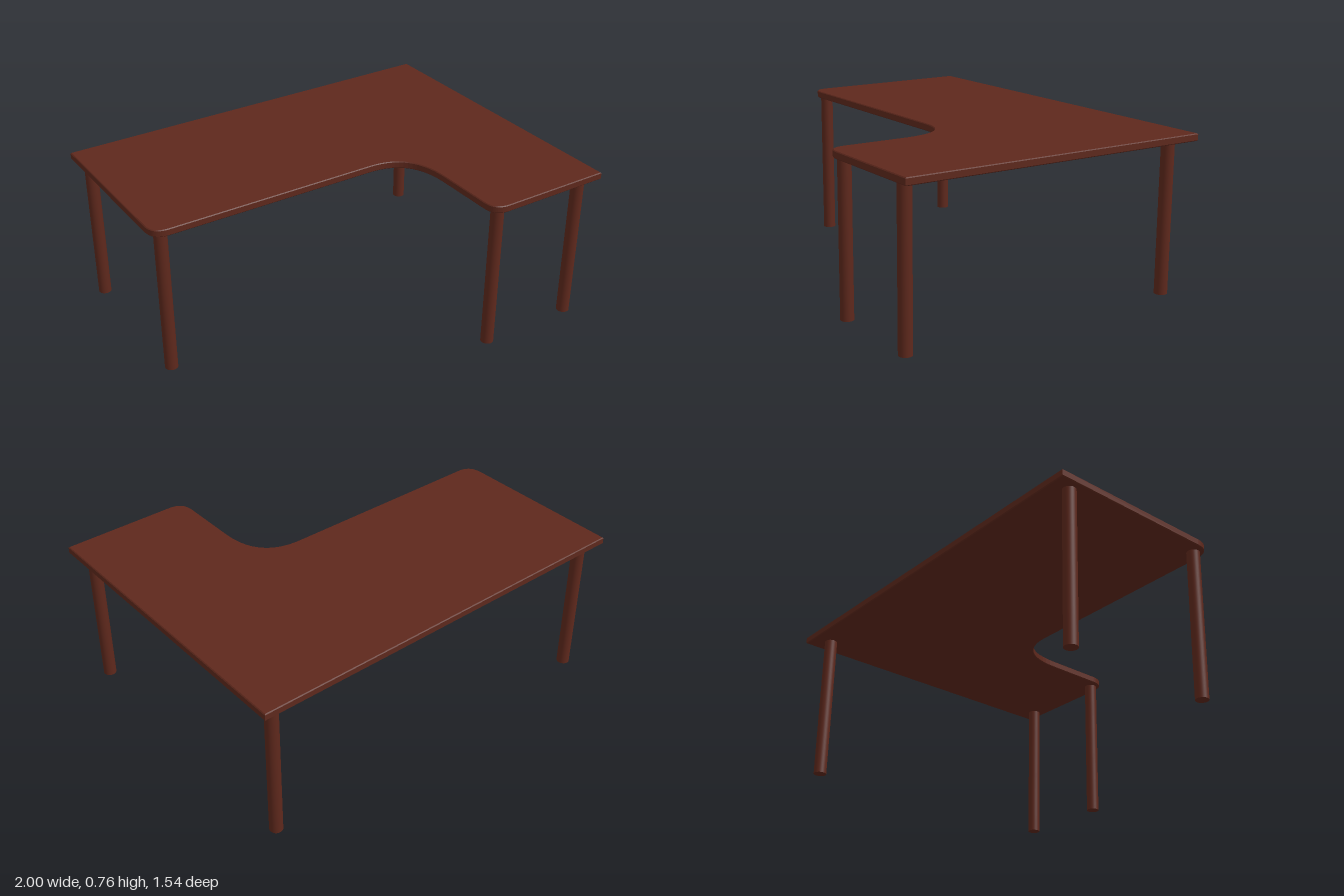
import * as THREE from 'three';

const TOP_Y = 0.765, UNDER_Y = 0.73, BEVEL = 0.004, LEG_RADIUS = 0.031;

// L-shaped outline, drawn with y = -z
function topOutline() {
  const r = 0.08, b = BEVEL;
  const left = -1 + b, right = 1 - b, back = 0.773 - b;
  const front = -0.768 + b, innerX = 0.362 + b, innerZ = -0.128 + b;
  const s = new THREE.Shape();
  s.moveTo(left, back);
  s.lineTo(left, innerZ + r);
  s.quadraticCurveTo(left, innerZ, left + r, innerZ);
  s.lineTo(0.13, innerZ);
  // sweeping inner corner
  s.quadraticCurveTo(innerX, innerZ, innerX, -0.39);
  s.lineTo(innerX, front + r);
  s.quadraticCurveTo(innerX, front, innerX + r, front);
  s.lineTo(right, front);
  s.lineTo(right, back);
  s.closePath();
  return s;
}

export function createModel() {
  const desk = new THREE.Group();
  desk.name = 'cornerDesk';
  const wood = new THREE.MeshStandardMaterial({ color: 0x5e281c });

  // desk top with slightly eased edges
  const topGeo = new THREE.ExtrudeGeometry(topOutline(), {
    depth: TOP_Y - UNDER_Y - 2 * BEVEL,
    bevelEnabled: true, bevelThickness: BEVEL, bevelSize: BEVEL, bevelSegments: 1,
    curveSegments: 16,
  });
  topGeo.rotateX(-Math.PI / 2);
  const top = new THREE.Mesh(topGeo, wood);
  top.name = 'deskTop';
  top.position.y = UNDER_Y + BEVEL;
  desk.add(top);

  // round legs
  const legGeo = new THREE.CylinderGeometry(LEG_RADIUS, LEG_RADIUS, UNDER_Y, 32);
  const legs = [
    ['backRightLeg', -0.94, -0.682],
    ['middleRightLeg', -0.94, 0.075],
    ['backLeftLeg', 0.905, -0.682],
    ['frontLeftLeg', 0.905, 0.715],
    ['frontInnerLeg', 0.42, 0.715],
  ];
  for (const [name, x, z] of legs) {
    const leg = new THREE.Mesh(legGeo, wood);
    leg.name = name;
    leg.position.set(x, UNDER_Y / 2, z);
    desk.add(leg);
  }
  return desk;
}
